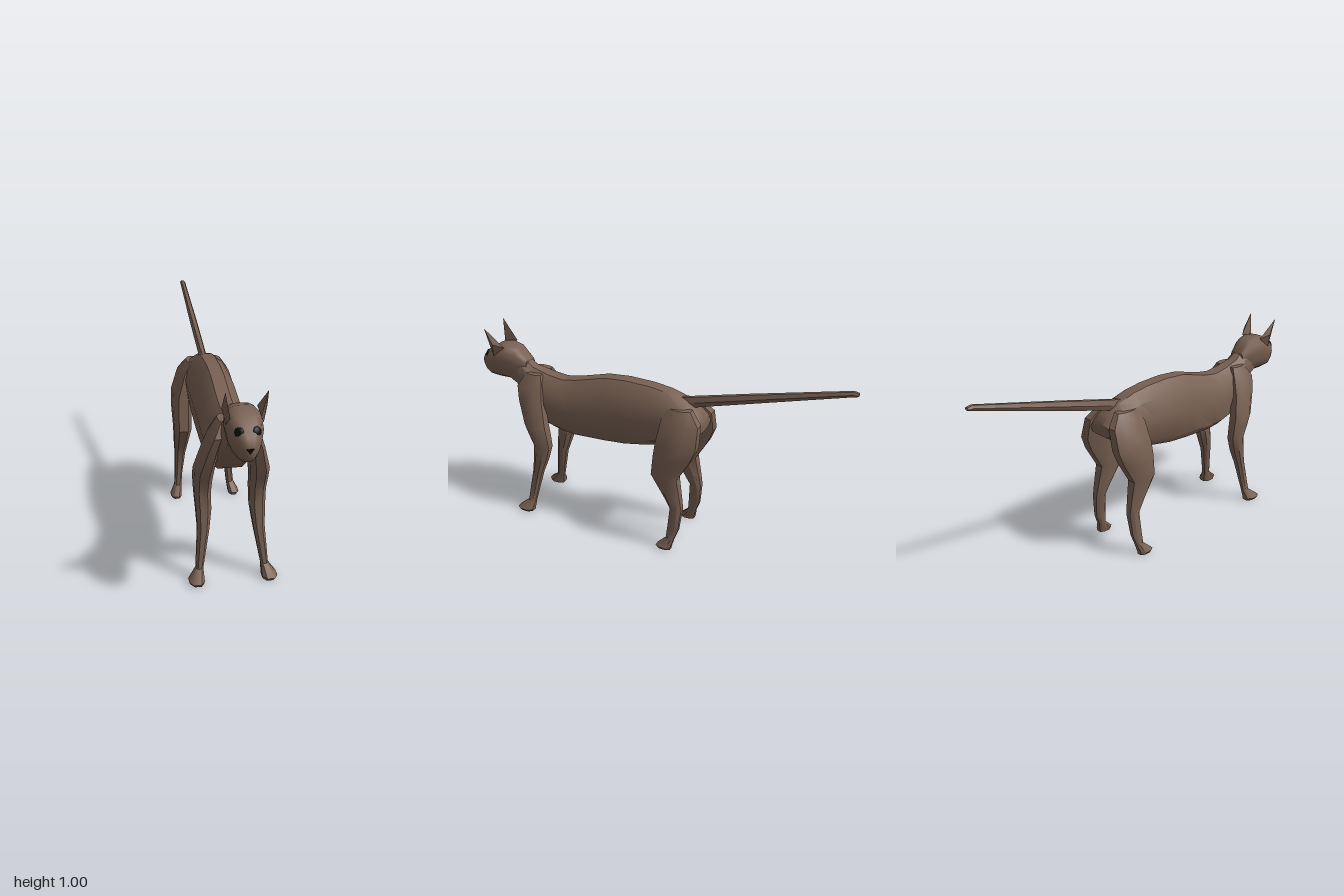
import * as THREE from 'three';
import { toCreasedNormals } from 'three/addons/utils/BufferGeometryUtils.js';
import { ConvexGeometry } from 'three/addons/geometries/ConvexGeometry.js';

const fur = new THREE.MeshStandardMaterial({ color: 0x786052 });
const dark = new THREE.MeshStandardMaterial({ color: 0x0a0a0a });

// Closed skin through equal-length rings of [x, y, z] points, capped at both ends.
function loft(rings, crease = 0.65) {
  const n = rings[0].length;
  const tris = [];
  for (let r = 0; r < rings.length - 1; r++) {
    for (let i = 0; i < n; i++) {
      const j = (i + 1) % n;
      const a = rings[r][i], b = rings[r][j], c = rings[r + 1][j], d = rings[r + 1][i];
      tris.push([a, b, c], [a, c, d]);
    }
  }
  const cap = (ring, flip) => {
    const mid = [0, 1, 2].map(k => ring.reduce((s, p) => s + p[k], 0) / n);
    for (let i = 0; i < n; i++) {
      const a = ring[i], b = ring[(i + 1) % n];
      tris.push(flip ? [mid, a, b] : [mid, b, a]);
    }
  };
  cap(rings[0], false);
  cap(rings[rings.length - 1], true);
  // A negative enclosed volume means the faces point inward
  const v = p => new THREE.Vector3(...p);
  let volume = 0;
  for (const [a, b, c] of tris) volume += v(a).dot(v(b).cross(v(c)));
  if (volume < 0) tris.forEach(t => t.reverse());
  const geo = new THREE.BufferGeometry();
  geo.setAttribute('position', new THREE.Float32BufferAttribute(tris.flat(2), 3));
  return toCreasedNormals(geo, crease);
}

// Lengthwise part: a half profile [x 0..1, y 0..1] scaled to sections [z, halfWidth, bottom, top].
function lengthwise(profile, sections, crease) {
  const full = [...profile, ...profile.slice().reverse().map(([x, y]) => [-x, y])];
  return loft(sections.map(([z, w, b, t]) => full.map(([x, y]) => [x * w, b + y * (t - b), z])), crease);
}

// Leg: softened eight-sided rings from sections [y, xInner, xOuter, zBack, zFront].
const ringShape = [[1, 0.45], [0.5, 1], [-0.5, 1], [-1, 0.45], [-1, -0.45], [-0.5, -1], [0.5, -1], [1, -0.45]];
function leg(sections, side) {
  return loft(sections.map(([y, xi, xo, zb, zf]) => ringShape.map(([u, w]) => [
    side * ((xi + xo) / 2 + u * (xo - xi) / 2), y, (zb + zf) / 2 + w * (zf - zb) / 2,
  ])));
}

export function createModel() {
  const model = new THREE.Group();
  const add = (name, geo, mat = fur) => {
    const mesh = new THREE.Mesh(geo, mat);
    mesh.name = name;
    model.add(mesh);
    return mesh;
  };

  // Torso with neck, chest and rump
  add('body', lengthwise(
    [[0.3, 1], [0.78, 0.83], [1, 0.48], [0.88, 0.12], [0.55, 0]],
    [
      [0.84, 0.05, 0.73, 0.85], [0.77, 0.058, 0.69, 0.865], [0.73, 0.066, 0.645, 0.845],
      [0.68, 0.08, 0.59, 0.805], [0.58, 0.1, 0.51, 0.782], [0.5, 0.105, 0.49, 0.772],
      [0.42, 0.105, 0.482, 0.785], [0.25, 0.105, 0.49, 0.832], [0.13, 0.105, 0.5, 0.842],
      [0, 0.105, 0.525, 0.838], [-0.1, 0.105, 0.555, 0.825], [-0.2, 0.1, 0.6, 0.795],
      [-0.26, 0.09, 0.63, 0.75], [-0.29, 0.07, 0.65, 0.71],
    ]));

  // Head tapering to the muzzle
  add('head', lengthwise(
    [[0.22, 1], [0.6, 0.98], [0.9, 0.84], [1, 0.6], [0.85, 0.3], [0.62, 0.1], [0.3, 0]],
    [
      [0.71, 0.045, 0.73, 0.84], [0.77, 0.065, 0.712, 0.895], [0.83, 0.077, 0.715, 0.908],
      [0.89, 0.077, 0.714, 0.897], [0.945, 0.059, 0.715, 0.862], [0.98, 0.035, 0.729, 0.828],
      [0.996, 0.02, 0.752, 0.806],
    ], 0.9));

  // Long straight tail
  add('tail', lengthwise(
    [[0.5, 1], [1, 0.5], [0.5, 0]],
    [
      [-0.14, 0.012, 0.75, 0.8], [-0.22, 0.02, 0.762, 0.817], [-0.5, 0.02, 0.843, 0.888],
      [-0.975, 0.015, 0.98, 1.005], [-1, 0.014, 0.986, 1.0],
    ]));

  const frontLeg = [
    [0.785, 0.03, 0.07, 0.61, 0.7], [0.72, 0.05, 0.11, 0.59, 0.735], [0.65, 0.065, 0.135, 0.58, 0.718],
    [0.53, 0.08, 0.168, 0.552, 0.675], [0.48, 0.085, 0.168, 0.542, 0.655], [0.41, 0.088, 0.163, 0.535, 0.627],
    [0.33, 0.088, 0.158, 0.56, 0.637], [0.24, 0.1, 0.154, 0.595, 0.65], [0.06, 0.133, 0.167, 0.638, 0.68],
    [0.014, 0.133, 0.203, 0.645, 0.738], [0, 0.135, 0.195, 0.648, 0.73],
  ];
  const hindLeg = [
    [0.77, 0.03, 0.09, -0.24, -0.12], [0.71, 0.045, 0.13, -0.295, -0.1], [0.6, 0.065, 0.165, -0.297, -0.085],
    [0.53, 0.07, 0.17, -0.27, -0.076], [0.415, 0.075, 0.166, -0.203, -0.064], [0.305, 0.09, 0.16, -0.222, -0.134],
    [0.24, 0.1, 0.155, -0.232, -0.17], [0.12, 0.12, 0.158, -0.22, -0.16], [0.06, 0.125, 0.163, -0.198, -0.155],
    [0.014, 0.13, 0.187, -0.187, -0.107], [0, 0.133, 0.18, -0.185, -0.112],
  ];

  for (const [side, label] of [[1, 'left'], [-1, 'right']]) {
    add(label + 'FrontLeg', leg(frontLeg, side));
    add(label + 'HindLeg', leg(hindLeg, side));

    // Thin pointed ear
    add(label + 'Ear', new ConvexGeometry([
      [0.085, 1, 0.922], [0.062, 0.885, 0.905], [0.092, 0.92, 0.875], [0.062, 0.9, 0.825], [0.076, 0.85, 0.885],
    ].map(([x, y, z]) => new THREE.Vector3(side * x, y, z))));

    // Flattened eye lying on the face
    const eye = add(label + 'Eye', new THREE.SphereGeometry(1, 16, 10), dark);
    eye.position.set(side * 0.036, 0.843, 0.951);
    eye.lookAt(side * 0.5, 1.25, 1.75);
    eye.scale.set(0.02, 0.02, 0.008);
  }

  // Triangular nose
  const nose = new THREE.Shape([[-0.016, 0.79], [0, 0.768], [0.016, 0.79]].map(p => new THREE.Vector2(...p)));
  add('nose', new THREE.ExtrudeGeometry(nose, { depth: 0.01, bevelEnabled: false }), dark).position.z = 0.99;

  return model;
}
